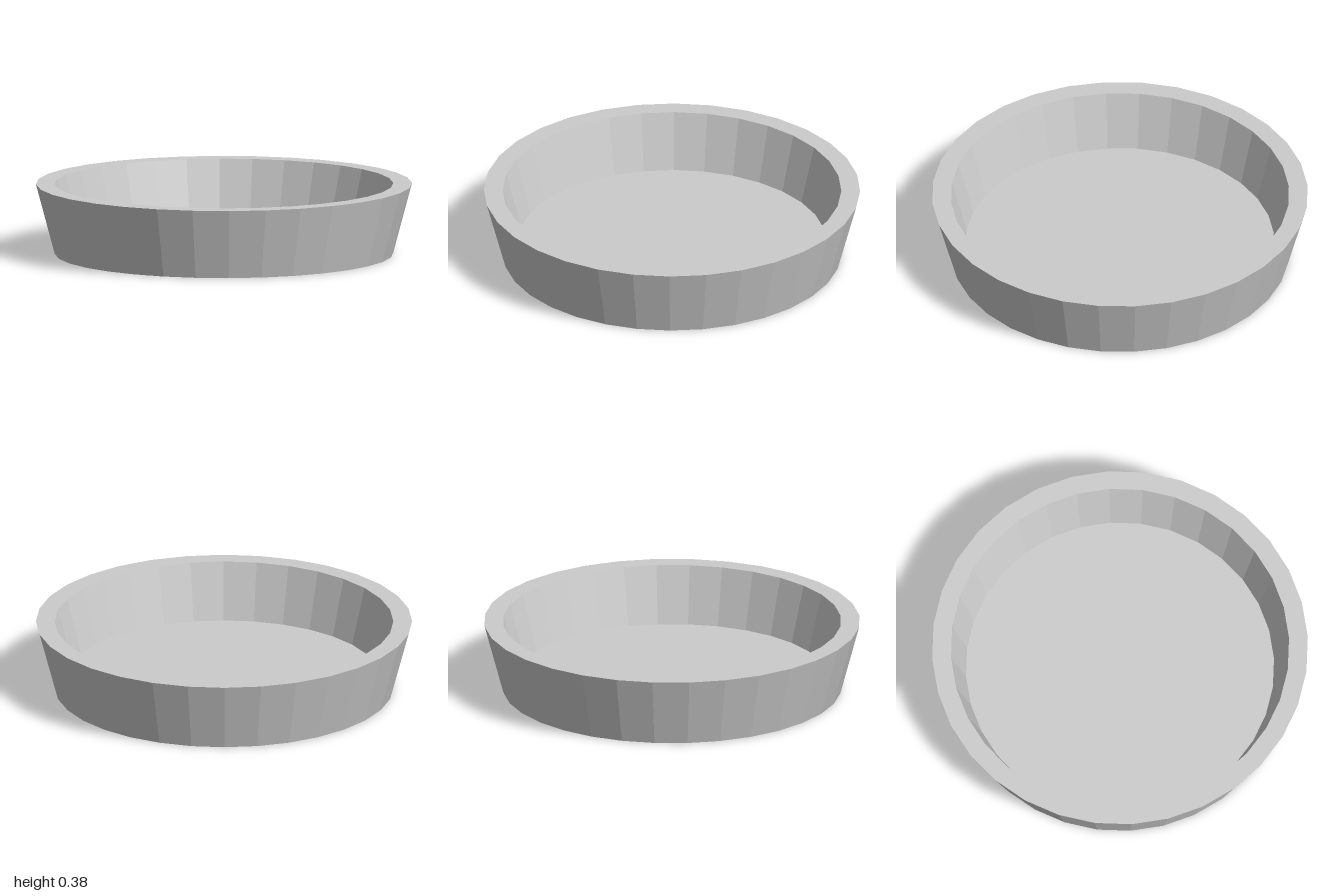
import * as THREE from 'three';

const SIDES = 32;
const TURN = THREE.MathUtils.degToRad(-2); // slight turn of the facets about the axis

export function createModel() {
  const model = new THREE.Group();
  model.name = 'dish';

  // Closed section of the dish: base, flared wall, flat rim, inner wall, floor
  const profile = [
    [0, 0], [0.9, 0], [1, 0.375], [0.9, 0.375], [0.82, 0.07], [0, 0.07],
  ].map(([r, y]) => new THREE.Vector2(r, y));

  const bowl = new THREE.Mesh(
    new THREE.LatheGeometry(profile, SIDES, TURN),
    new THREE.MeshStandardMaterial({ color: 0xcccccc, flatShading: true }),
  );
  bowl.name = 'bowl';
  model.add(bowl);

  return model;
}
